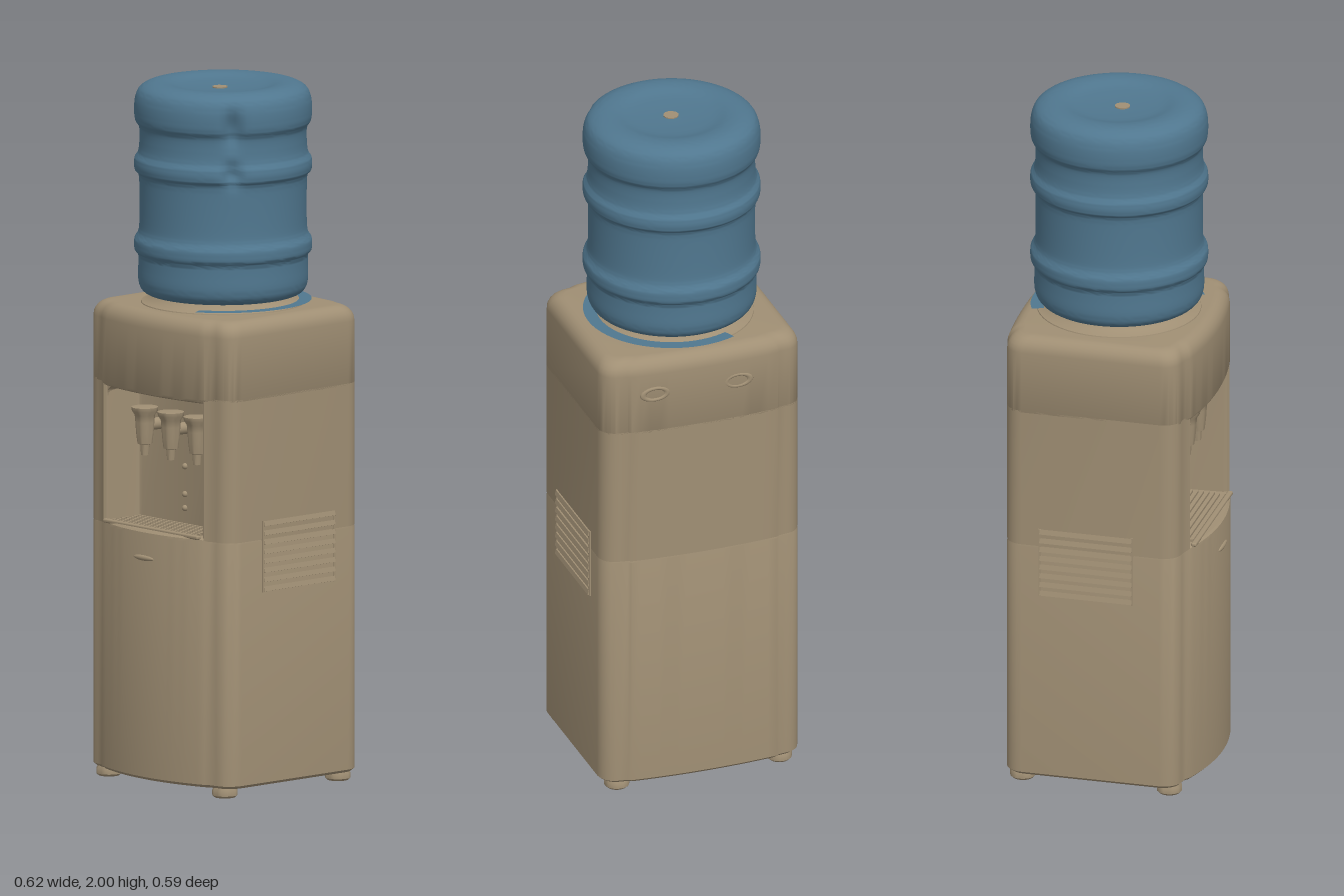
import * as THREE from 'three';
import { toCreasedNormals } from 'three/addons/utils/BufferGeometryUtils.js';
import { RoundedBoxGeometry } from 'three/addons/geometries/RoundedBoxGeometry.js';

const beige = new THREE.MeshStandardMaterial({ name: 'beige plastic', color: 0xa08f74 });
const blue = new THREE.MeshStandardMaterial({ name: 'blue bottle', color: 0x50778f });

// Plan of the cabinet: bowed front and back, rounded corners, optional alcove cut into the front
function plan(front, alcove) {
  const half = [];
  if (alcove) half.push([0, 0.13], [0.18, 0.13], [0.19, 0.134], [0.195, 0.145], [0.2, 0.235], [0.204, 0.246], [0.212, 0.251]);
  else for (let i = 0; i <= 10; i++) {
    const t = i / 10;
    half.push([0.215 * t, 0.252 + (front - 0.252) * (1 - t * t)]);
  }
  half.push([0.228, 0.243]);
  for (let i = 0; i <= 6; i++) {
    const a = (i / 6) * Math.PI / 2;
    half.push([0.25 + 0.05 * Math.sin(a), 0.185 + 0.053 * Math.cos(a)]);
  }
  for (let i = 0; i <= 6; i++) {
    const a = (i / 6) * Math.PI / 2;
    half.push([0.25 + 0.05 * Math.cos(a), -0.22 - 0.053 * Math.sin(a)]);
  }
  half.push([0.228, -0.276]);
  for (let i = 0; i <= 8; i++) {
    const t = 1 - i / 8;
    half.push([0.22 * t, -0.282 - 0.011 * (1 - t * t)]);
  }
  const mirrored = half.slice(1, -1).reverse().map(([x, z]) => [-x, z]);
  return half.concat(mirrored);
}

// Stacks a plan through [height, inset] levels and closes both ends
function loft(outline, levels, caps = true) {
  const pos = [], idx = [], n = outline.length;
  for (const [y, inset] of levels)
    for (const [x, z] of outline) pos.push(x * (1 - inset / 0.3), y, z * (1 - inset / 0.28));
  for (let k = 0; k < levels.length - 1; k++)
    for (let i = 0; i < n; i++) {
      const a = k * n + i, b = k * n + (i + 1) % n;
      idx.push(a, b, b + n, a, b + n, a + n);
    }
  if (caps) {
    const top = (levels.length - 1) * n;
    const tris = THREE.ShapeUtils.triangulateShape(outline.map(([x, z]) => new THREE.Vector2(x, -z)), []);
    for (const [a, b, c] of tris) idx.push(top + a, top + b, top + c, c, b, a);
  }
  const g = new THREE.BufferGeometry();
  g.setAttribute('position', new THREE.Float32BufferAttribute(pos, 3));
  g.setIndex(idx);
  return toCreasedNormals(g, 0.6);
}

const lathe = (pts, seg = 24) =>
  toCreasedNormals(new THREE.LatheGeometry(pts.map(([r, y]) => new THREE.Vector2(r, y)), seg), 0.7);

export function createModel() {
  const model = new THREE.Group();
  model.name = 'waterDispenser';
  const add = (name, geo, mat, x = 0, y = 0, z = 0, parent = model) => {
    const m = new THREE.Mesh(geo, mat);
    m.name = name;
    m.position.set(x, y, z);
    parent.add(m);
    return m;
  };

  // Cabinet in three storeys; the middle one holds the alcove
  add('lowerCabinet', loft(plan(0.29), [[0.028, 0.008], [0.036, 0], [0.73, 0], [0.738, 0.002], [0.743, 0.008]]), beige);
  add('alcoveWalls', loft(plan(0.275, true), [[0.735, 0], [1.145, 0]], false), beige);
  const roof = [[1.128, 0.012], [1.132, 0.004], [1.14, 0]];
  for (let i = 0; i <= 6; i++) {
    const a = (i / 6) * Math.PI / 2;
    roof.push([1.322 + 0.045 * Math.sin(a), 0.04 * (1 - Math.cos(a))]);
  }
  add('upperCabinet', loft(plan(0.275), roof), beige);

  // Rounded upper corners of the alcove
  for (const s of [-1, 1]) {
    const r = 0.03, fillet = new THREE.Shape();
    fillet.moveTo(0, 0);
    fillet.lineTo(-s * r, 0);
    fillet.quadraticCurveTo(0, 0, 0, -r);
    add('alcoveCorner', new THREE.ExtrudeGeometry(fillet, { depth: 0.115, bevelEnabled: false, curveSegments: 6 }),
      beige, s * 0.202, 1.13, 0.13);
  }

  // Drip tray grille
  for (let i = 0; i < 7; i++)
    add('trayBar', new THREE.BoxGeometry(0.35, 0.008, 0.009), beige, 0, 0.746, 0.15 + i * 0.016);
  add('trayLip', new RoundedBoxGeometry(0.4, 0.012, 0.016, 2, 0.005), beige, 0, 0.744, 0.258);

  // Three taps hanging from the alcove back
  for (const x of [-0.11, 0, 0.11]) {
    const tap = new THREE.Group();
    tap.name = 'tap';
    tap.position.set(x, 0, 0.185);
    model.add(tap);
    add('tapBody', lathe([[0, 0.935], [0.011, 0.935], [0.013, 0.965], [0.021, 0.968], [0.025, 1.0], [0.027, 1.03],
      [0.029, 1.05], [0.037, 1.062], [0.038, 1.073], [0, 1.076]]), beige, 0, 0, 0, tap);
    const stem = new THREE.CylinderGeometry(0.016, 0.018, 0.07, 16).rotateX(Math.PI / 2);
    add('tapStem', stem, beige, 0, 1.02, -0.03, tap);
  }

  // Indicator buttons and the small grip below the alcove
  for (const y of [0.79, 0.83, 0.91])
    add('indicator', new THREE.SphereGeometry(0.009, 12, 8), beige, 0, y, 0.131);
  add('doorGrip', new THREE.SphereGeometry(1, 24, 10).scale(0.042, 0.008, 0.007), beige, 0, 0.665, 0.289);

  // Side vents
  for (const s of [-1, 1]) {
    for (let i = 0; i < 8; i++) {
      const slat = add('ventSlat', new THREE.BoxGeometry(0.014, 0.014, 0.27), beige, s * 0.3, 0.592 + i * 0.0268, -0.03);
      slat.rotation.z = s * 0.25;
    }
    for (const z of [-0.165, 0.105])
      add('ventFrame', new THREE.BoxGeometry(0.008, 0.205, 0.007), beige, s * 0.3, 0.686, z);
  }

  // Small catches on the back
  for (const x of [-0.1, 0.15]) {
    const ring = new THREE.TorusGeometry(0.018, 0.005, 8, 24).scale(2, 1, 1);
    add('backCatch', ring, beige, x, 1.26, -0.288);
  }

  // Feet
  for (const x of [-0.245, 0.245])
    for (const z of [-0.23, 0.2])
      add('foot', lathe([[0, 0], [0.03, 0], [0.036, 0.006], [0.036, 0.02], [0.03, 0.032]]), beige, x, 0, z);

  // Collar with a partial blue gasket
  const cz = -0.014;
  add('collar', lathe([[0.235, 1.36], [0.232, 1.37], [0.205, 1.378], [0.192, 1.395], [0.15, 1.4]], 48), beige, 0, 0, cz);
  const gasket = new THREE.RingGeometry(0.215, 0.251, 40, 1, -1.05, 3.05).rotateX(-Math.PI / 2);
  add('gasket', gasket, blue, 0, 1.3765, cz);

  // Ribbed bottle
  const profile = [[0.15, 1.388], [0.2, 1.39], [0.228, 1.402], [0.24, 1.43], [0.24, 1.48], [0.241, 1.505], [0.251, 1.52],
    [0.251, 1.55], [0.241, 1.568], [0.237, 1.6], [0.237, 1.7], [0.24, 1.735], [0.251, 1.75], [0.251, 1.78], [0.241, 1.798],
    [0.237, 1.83], [0.238, 1.87], [0.249, 1.89], [0.252, 1.92], [0.249, 1.955], [0.236, 1.982], [0.205, 1.997],
    [0.165, 1.998], [0.12, 1.988], [0.05, 1.983], [0, 1.983]].map(([r, y]) => new THREE.Vector2(r, y));
  const pts = new THREE.SplineCurve(profile).getPoints(110);
  pts.forEach(p => { p.x = Math.max(0, p.x); });
  const bottle = new THREE.LatheGeometry(pts, 96, -Math.PI / 2);
  // Finger hollows beside the moulded grip
  const p = bottle.attributes.position;
  for (let i = 0; i < p.count; i++) {
    const x = p.getX(i), y = p.getY(i), z = p.getZ(i);
    if (Math.hypot(x, z) < 0.1) continue;
    const da = (Math.atan2(x, z) - 0.95) / 0.09;
    const dent = 0.03 * Math.exp(-da * da) *
      (Math.exp(-(((y - 1.9) / 0.05) ** 2)) + Math.exp(-(((y - 1.77) / 0.03) ** 2)));
    const k = 1 - dent / 0.25;
    p.setXYZ(i, x * k, y, z * k);
  }
  add('bottle', toCreasedNormals(bottle, 0.9), blue, 0, 0, cz);
  add('bottleCentreMark', new THREE.CylinderGeometry(0.022, 0.022, 0.006, 12), beige, -0.002, 1.983, -0.004);

  return model;
}
